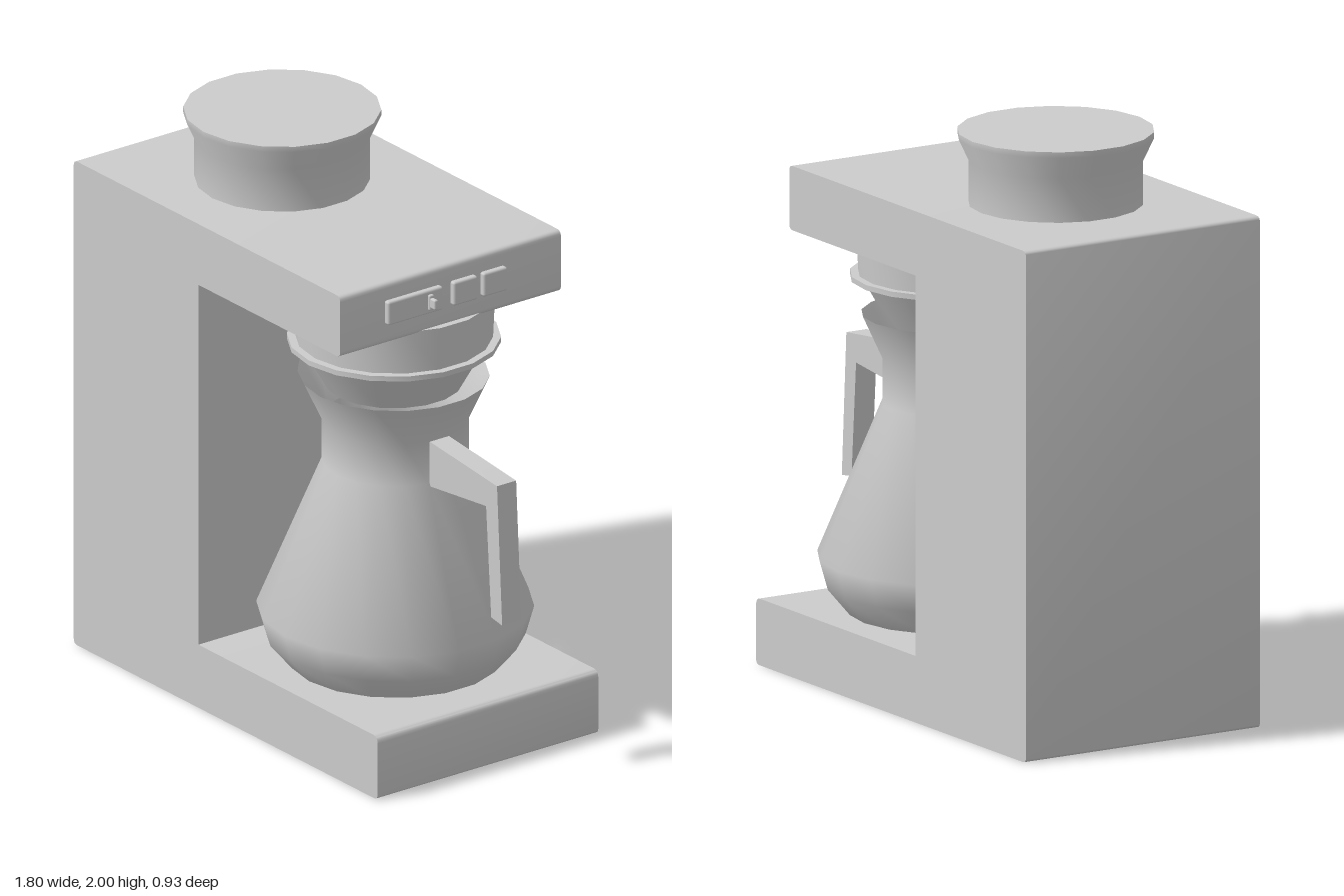
import * as THREE from 'three';
import { toCreasedNormals } from 'three/addons/utils/BufferGeometryUtils.js';
import { RoundedBoxGeometry } from 'three/addons/geometries/RoundedBoxGeometry.js';

const SIDES = 18;
const JUG_X = 0.257;
const grey = new THREE.MeshStandardMaterial({ color: 0xcccccc, side: THREE.DoubleSide });

function part(parent, name, geometry, x = 0, y = 0, z = 0) {
  const mesh = new THREE.Mesh(geometry, grey);
  mesh.name = name;
  mesh.position.set(x, y, z);
  parent.add(mesh);
  return mesh;
}

// Turned part from [radius, height] pairs
function turned(profile, crease = 0.6) {
  const g = new THREE.LatheGeometry(profile.map(([r, y]) => new THREE.Vector2(r, y)), SIDES);
  return toCreasedNormals(g, crease);
}

// Outline of [x, y, cornerRadius] corners, extruded symmetrically about z = 0
function slab(corners, depth) {
  const shape = new THREE.Shape();
  const n = corners.length;
  corners.forEach(([x, y, r = 0], i) => {
    const toward = ([px, py]) => {
      const d = Math.hypot(px - x, py - y);
      return [x + ((px - x) / d) * r, y + ((py - y) / d) * r];
    };
    const a = toward(corners[(i + n - 1) % n]);
    const b = toward(corners[(i + 1) % n]);
    if (i === 0) shape.moveTo(...a); else shape.lineTo(...a);
    if (r > 0) shape.quadraticCurveTo(x, y, ...b);
  });
  shape.closePath();
  const g = new THREE.ExtrudeGeometry(shape, { depth, bevelEnabled: false, curveSegments: 4 });
  g.translate(0, 0, -depth / 2);
  return toCreasedNormals(g, 0.6);
}

export function createModel() {
  const model = new THREE.Group();
  model.name = 'coffeeMaker';

  // C-shaped housing: base, column and overhanging head
  part(model, 'housing', slab([
    [-0.9, 0, 0.02], [0.765, 0, 0.02], [0.765, 0.228, 0.025], [-0.217, 0.228],
    [-0.217, 1.53], [0.56, 1.53, 0.02], [0.56, 1.75, 0.02], [-0.9, 1.75, 0.02],
  ], 0.924));

  // Water tank lid on top of the column
  part(model, 'tankLid', turned([
    [0, 1.74], [0.293, 1.74], [0.293, 1.9], [0.33, 1.98], [0.33, 2], [0, 2],
  ]), -0.362);

  // Filter basket with its flange and cone
  const filter = new THREE.Group();
  filter.name = 'filter';
  filter.position.x = 0.25;
  model.add(filter);
  part(filter, 'basket', turned([[0.33, 1.385], [0.337, 1.54], [0, 1.54]]));
  part(filter, 'flange', turned([
    [0.3, 1.37], [0.357, 1.37], [0.357, 1.388], [0.3, 1.388],
  ]));
  part(filter, 'cone', turned([[0, 1.22], [0.23, 1.22], [0.317, 1.375]]));

  // Carafe, with the rim drawn out into a spout facing the column
  const carafe = new THREE.Group();
  carafe.name = 'carafe';
  carafe.position.x = JUG_X;
  model.add(carafe);
  const jug = new THREE.LatheGeometry([
    [0, 0.23], [0.36, 0.23], [0.435, 0.32], [0.463, 0.42],
    [0.245, 0.945], [0.245, 1.095], [0.315, 1.248],
  ].map(([r, y]) => new THREE.Vector2(r, y)), SIDES);
  const pos = jug.attributes.position;
  for (let i = 0; i < pos.count; i++) {
    if (pos.getY(i) < 1.2) continue;
    const toSpout = Math.max(0, -pos.getX(i) / 0.315);
    pos.setX(i, pos.getX(i) - 0.065 * toSpout ** 3);
  }
  part(carafe, 'jug', toCreasedNormals(jug, 0.75));
  part(carafe, 'handle', slab([
    [0.2, 0.925], [0.243, 0.935], [0.55, 0.968], [0.578, 0.575], [0.638, 0.565],
    [0.61, 1.06], [0.243, 1.096], [0.2, 1.096],
  ], 0.08));

  // Control panel on the front edge of the head: [name, z centre, width]
  const controls = new THREE.Group();
  controls.name = 'controls';
  controls.position.set(0.56, 1.645, 0);
  model.add(controls);
  for (const [name, z, width] of [
    ['switchPlate', 0.16, 0.23], ['firstButton', -0.05, 0.1], ['secondButton', -0.175, 0.1],
  ]) {
    part(controls, name, new RoundedBoxGeometry(0.04, 0.085, width, 2, 0.008), 0, 0, z);
  }
  part(controls, 'switchLever', new RoundedBoxGeometry(0.05, 0.035, 0.016, 2, 0.005), 0.03, 0, 0.1);
  part(controls, 'switchPivot', new RoundedBoxGeometry(0.03, 0.055, 0.02, 2, 0.005), 0.015, 0, 0.1);

  return model;
}
